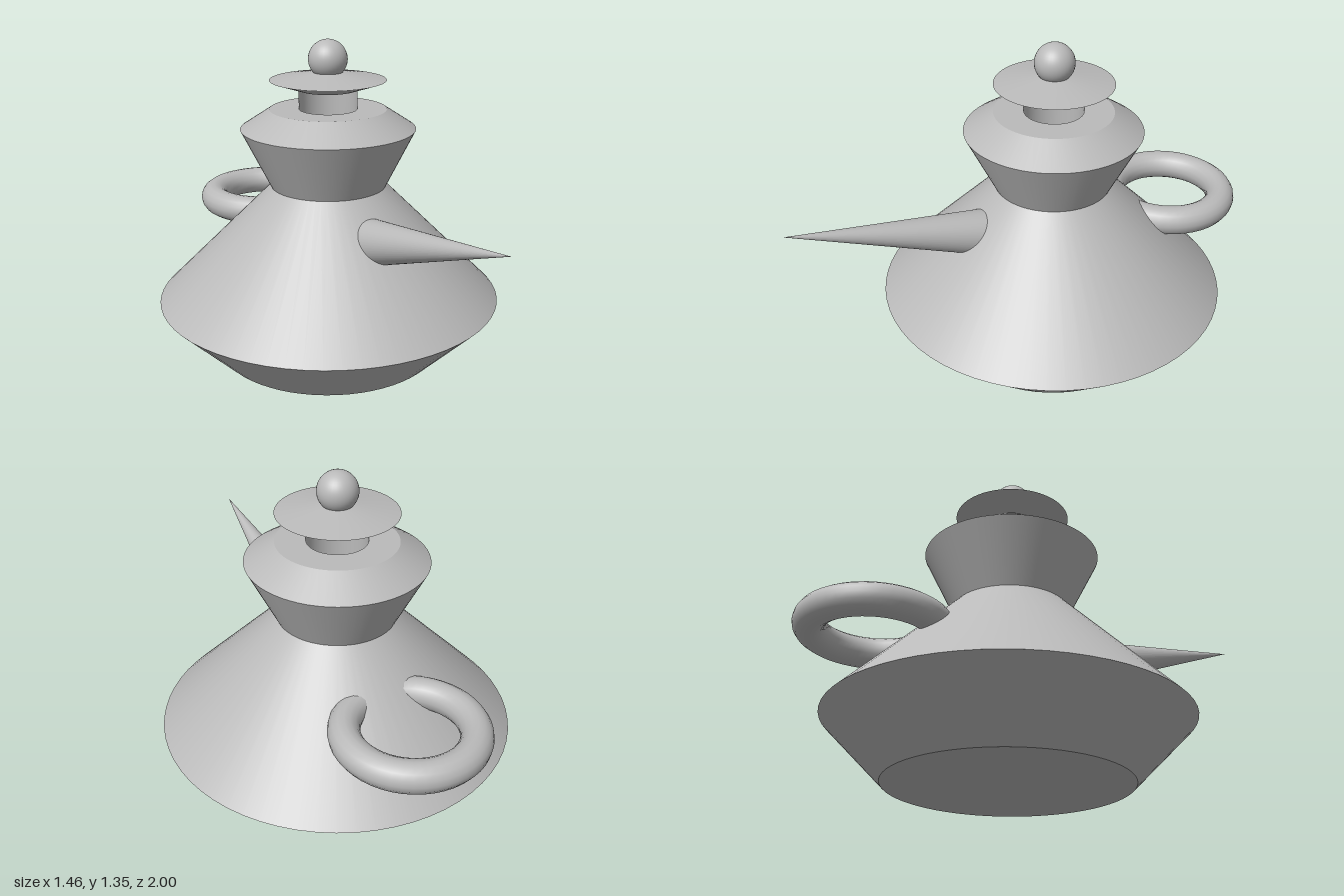
import * as THREE from 'three';

const clay = new THREE.MeshStandardMaterial({ color: 0xbababa });
clay.name = 'greyClay';

export function createModel() {
  const model = new THREE.Group();
  model.name = 'teapot';
  const axisZ = -0.123; // the round body sits behind the origin, the spout reaches forward

  function add(parent, name, geometry) {
    const mesh = new THREE.Mesh(geometry, clay);
    mesh.name = name;
    parent.add(mesh);
    return mesh;
  }

  // Turned part with a sharp edge between each pair of profile points
  function turned(name, profile) {
    const group = new THREE.Group();
    group.name = name;
    group.position.z = axisZ;
    for (let i = 0; i < profile.length - 1; i++) {
      const pair = [profile[i], profile[i + 1]].map(([r, y]) => new THREE.Vector2(r, y));
      add(group, `${name}Band${i + 1}`, new THREE.LatheGeometry(pair, 64));
    }
    model.add(group);
  }

  // Pot with a waisted collar and an open mouth
  turned('body', [[0, 0], [0.488, 0], [0.732, 0.245], [0.243, 0.734], [0.365, 0.98], [0.243, 1.06], [0.121, 1.06]]);
  // Inward-facing throat, from the lid down into the pot
  turned('throat', [[0.121, 1.14], [0.121, 0.735], [0, 0.735]]);
  // Flat conical lid, open underneath
  turned('lid', [[0.121, 1.14], [0.241, 1.18], [0, 1.221]]);

  // Knob
  const knob = add(model, 'knob', new THREE.SphereGeometry(0.081, 32, 24));
  knob.position.set(0, 1.264, axisZ);

  // Spout: a cone whose tip points forward and up
  const tilt = 0.253, length = 1.0;
  const spoutGeometry = new THREE.ConeGeometry(0.1166 * length, length, 48);
  spoutGeometry.translate(0, -length / 2, 0);
  const spout = add(model, 'spout', spoutGeometry);
  spout.position.set(0, 0.777, 0.997);
  spout.rotation.x = Math.PI / 2 - tilt;

  // Handle: a horizontal ring sunk into the back of the body
  const handle = add(model, 'handle', new THREE.TorusGeometry(0.244, 0.062, 16, 48));
  handle.rotation.x = Math.PI / 2;
  handle.position.set(0, 0.535, -0.694);

  return model;
}
